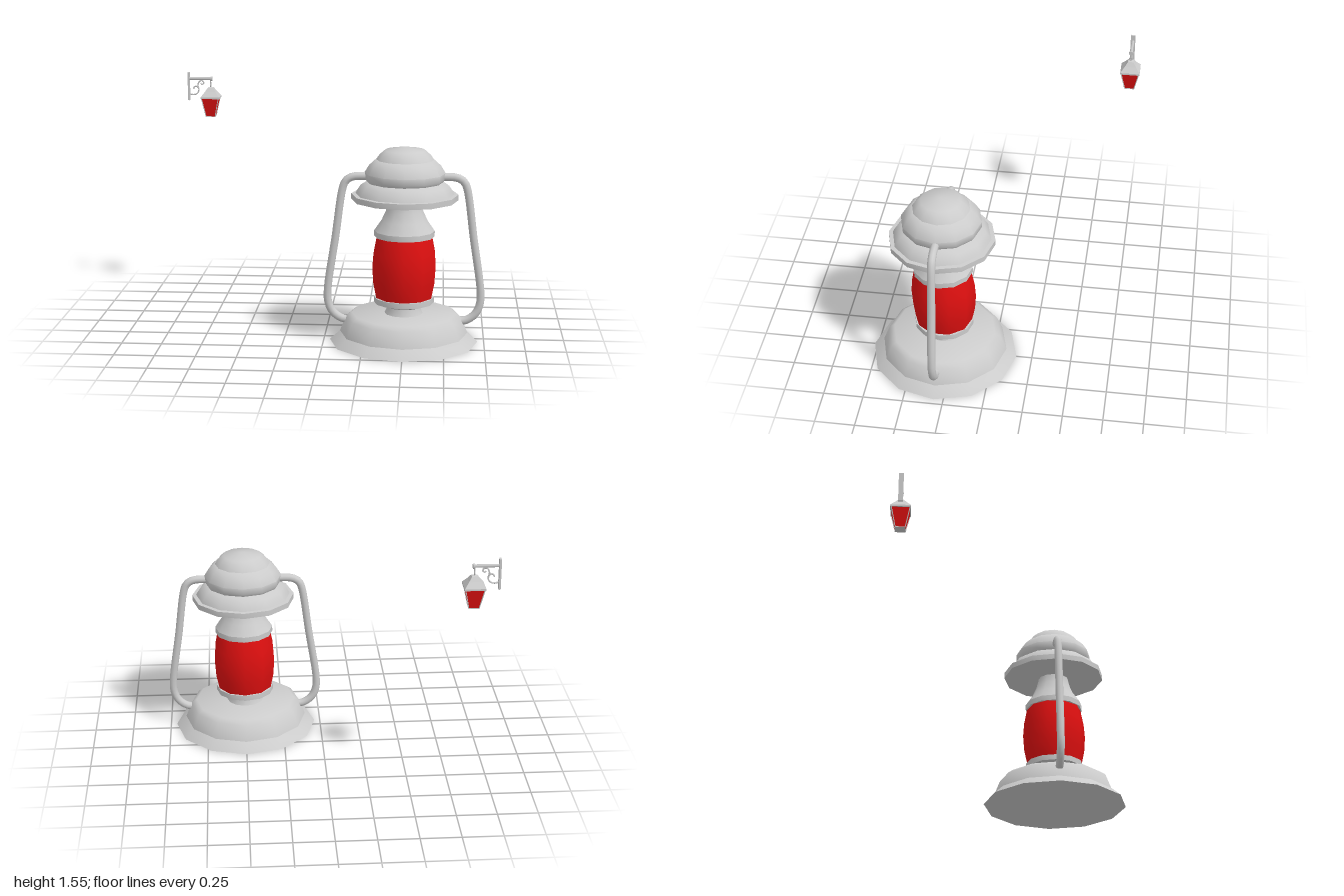
import * as THREE from 'three';
import { toCreasedNormals } from 'three/addons/utils/BufferGeometryUtils.js';

const grey = new THREE.MeshStandardMaterial({ color: 0xcccccc });
const flatGrey = new THREE.MeshStandardMaterial({ color: 0xcccccc, flatShading: true });
const red = new THREE.MeshStandardMaterial({ color: 0xe01010 });
const flatRed = new THREE.MeshStandardMaterial({ color: 0xe01010, flatShading: true });

function add(group, name, geometry, material, x = 0, y = 0, z = 0) {
  const mesh = new THREE.Mesh(geometry, material);
  mesh.name = name;
  mesh.position.set(x, y, z);
  group.add(mesh);
  return mesh;
}

// Turned part, profile given from bottom to top as [radius, height]
function turned(profile, sides = 12, start = 0) {
  const points = profile.map(([r, y]) => new THREE.Vector2(r, y));
  return toCreasedNormals(new THREE.LatheGeometry(points, sides, start), 0.75);
}

// Square tapering part, profile given as [halfWidth, height]
const square = (profile) =>
  turned(profile.map(([w, y]) => [w * Math.SQRT2, y]), 4, Math.PI / 4);

function tube(points, radius, segments, sides) {
  const curve = new THREE.CatmullRomCurve3(points.map(([x, y]) => new THREE.Vector3(x, y, 0)), false, 'centripetal');
  return new THREE.TubeGeometry(curve, segments, radius, sides);
}

// Straight round bar between two points
function bar(group, name, a, b, radius) {
  const from = new THREE.Vector3(...a), to = new THREE.Vector3(...b);
  const dir = to.clone().sub(from);
  const mesh = add(group, name, new THREE.CylinderGeometry(radius, radius, dir.length(), 6), grey);
  mesh.position.copy(from).addScaledVector(dir, 0.5);
  mesh.quaternion.setFromUnitVectors(new THREE.Vector3(0, 1, 0), dir.normalize());
}

function tableLantern() {
  const g = new THREE.Group();
  g.name = 'tableLantern';

  // Base and burner
  add(g, 'baseSkirt', turned([[0, 0], [0.462, 0], [0.398, 0.057]]), grey);
  add(g, 'baseBody', turned([[0.398, 0.057], [0.36, 0.155], [0.325, 0.18], [0, 0.18]]), grey);
  add(g, 'burnerNeck', turned([[0.12, 0.178], [0.1, 0.22], [0.1, 0.225]]), grey);
  add(g, 'burnerCollar', turned([[0.1, 0.222], [0.187, 0.25], [0.187, 0.285], [0, 0.285]]), grey);

  // Glass and chimney
  add(g, 'glass', turned([[0.178, 0.283], [0.198, 0.38], [0.205, 0.48], [0.198, 0.57], [0.178, 0.672]], 10), red);
  add(g, 'chimneyCollar', turned([[0, 0.67], [0.187, 0.67], [0.187, 0.705]]), grey);
  add(g, 'chimney', turned([[0.187, 0.705], [0.142, 0.77], [0.115, 0.83], [0.1, 0.885], [0.1, 0.91]]), grey);

  // Stepped hood
  add(g, 'hoodRim', turned([[0, 0.89], [0.33, 0.9], [0.33, 0.935], [0.3, 0.937]]), grey);
  add(g, 'hoodLower', turned([[0.305, 0.935], [0.295, 0.955], [0.272, 0.99], [0.235, 1.014], [0.2, 1.02]]), grey);
  add(g, 'hoodMiddle', turned([[0.236, 1.012], [0.248, 1.03], [0.249, 1.068], [0.22, 1.115], [0.182, 1.15], [0.165, 1.152]]), grey);
  add(g, 'hoodTop', turned([[0.178, 1.15], [0.158, 1.18], [0.125, 1.209], [0, 1.228]]), grey);

  // Side tubes joining base and hood
  const path = [[0.22, 1.045], [0.32, 1.04], [0.36, 1.018], [0.38, 0.98], [0.428, 0.655],
    [0.475, 0.33], [0.474, 0.25], [0.455, 0.195], [0.425, 0.16], [0.38, 0.135], [0.33, 0.13]];
  for (const side of [1, -1]) {
    const name = side > 0 ? 'leftTube' : 'rightTube';
    add(g, name, tube(path.map(([x, y]) => [x * side, y]), 0.025, 40, 10), grey);
  }
  return g;
}

function wallLantern() {
  const g = new THREE.Group();
  g.name = 'wallLantern';

  // Bracket, with the wall at the right end and the lantern on x = 0
  add(g, 'wallPlate', new THREE.BoxGeometry(0.012, 0.19, 0.03), grey, -0.149, 1.455, 0);
  bar(g, 'arm', [-0.148, 1.507, 0], [0.008, 1.507, 0], 0.01);
  bar(g, 'armTip', [0, 1.507, 0], [0.012, 1.507, 0], 0.016);
  add(g, 'largeScroll', tube([[-0.118, 1.437], [-0.112, 1.45], [-0.098, 1.455], [-0.083, 1.442],
    [-0.083, 1.42], [-0.1, 1.402], [-0.125, 1.398], [-0.147, 1.405]], 0.005, 32, 6), grey);
  add(g, 'smallScroll', tube([[-0.083, 1.435], [-0.087, 1.465], [-0.075, 1.49], [-0.055, 1.492],
    [-0.048, 1.476], [-0.06, 1.468], [-0.068, 1.475]], 0.005, 32, 6), grey);

  // Hanger
  bar(g, 'hanger', [0, 1.44, 0], [0, 1.507, 0], 0.004);
  add(g, 'hangerRing', new THREE.TorusGeometry(0.01, 0.003, 6, 12), grey, 0, 1.462, 0).rotation.y = Math.PI / 2;

  // Roof, glass body and its frame
  add(g, 'roof', square([[0, 1.375], [0.063, 1.375], [0.063, 1.386], [0.036, 1.42], [0.018, 1.447], [0, 1.452]]), flatGrey);
  add(g, 'panes', square([[0, 1.253], [0.029, 1.253], [0.056, 1.378]]), flatRed);
  add(g, 'floor', new THREE.BoxGeometry(0.064, 0.005, 0.064), grey, 0, 1.2515, 0);
  for (const sx of [1, -1]) for (const sz of [1, -1]) {
    bar(g, 'cornerPost', [sx * 0.03, 1.25, sz * 0.03], [sx * 0.057, 1.378, sz * 0.057], 0.003);
  }
  return g;
}

export function createModel() {
  const model = new THREE.Group();
  model.name = 'lanterns';
  const large = tableLantern();
  large.position.set(0.499, 0, 0.312);
  const small = wallLantern();
  small.position.set(-0.845, 0, -0.72);
  model.add(large, small);
  return model;
}
